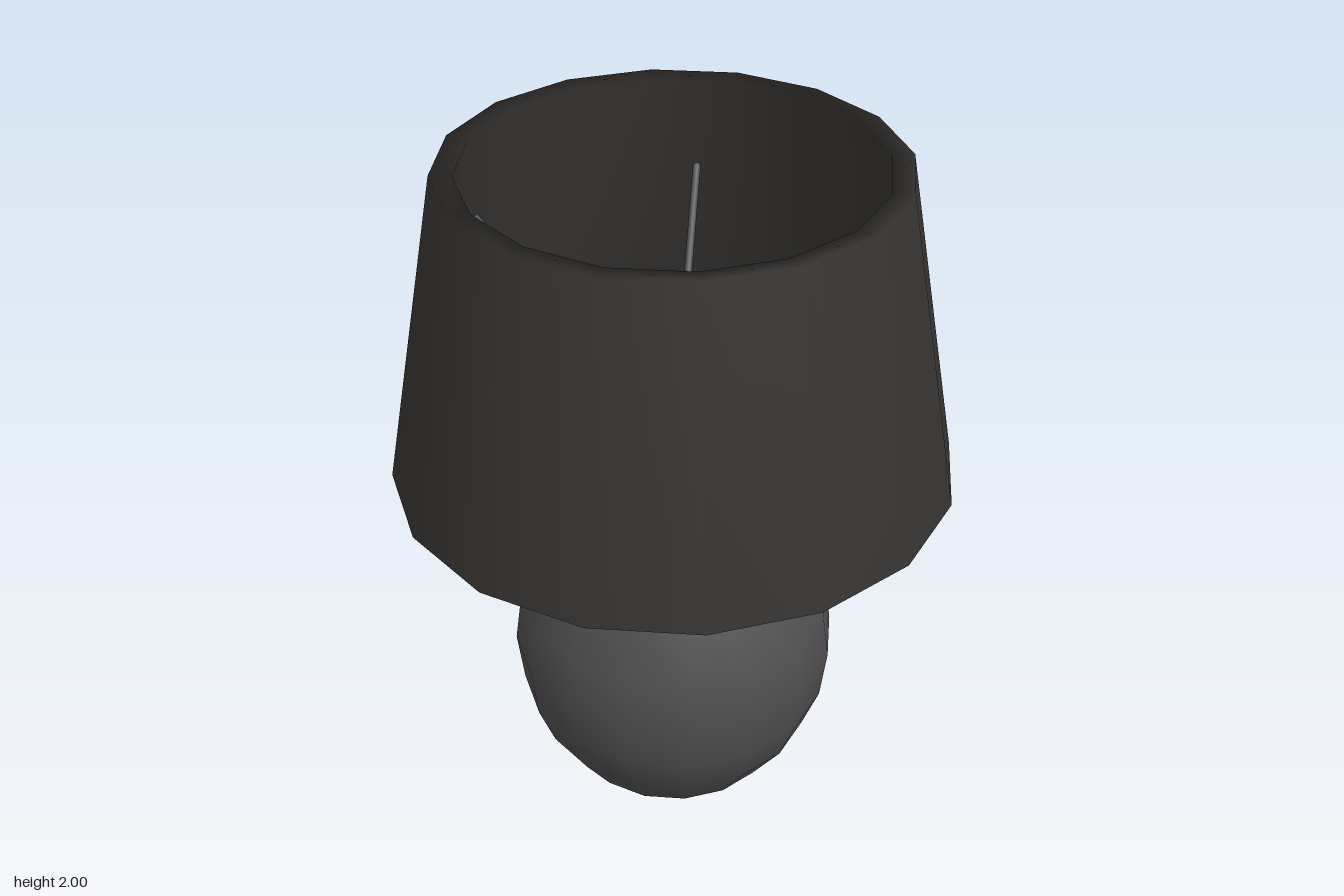
import * as THREE from 'three';

const SIDES = 16;
const material = (color, side = THREE.FrontSide) => new THREE.MeshStandardMaterial({ color, side });

// Turned part from [radius, height] pairs
function turned(name, profile, mat) {
  const points = profile.map(([r, y]) => new THREE.Vector2(r, y));
  const mesh = new THREE.Mesh(new THREE.LatheGeometry(points, SIDES), mat);
  mesh.name = name;
  return mesh;
}

// Straight round bar between two points
function bar(name, a, b, radius, mat) {
  const dir = b.clone().sub(a);
  const mesh = new THREE.Mesh(new THREE.CylinderGeometry(radius, radius, dir.length(), 8), mat);
  mesh.position.copy(a).add(b).multiplyScalar(0.5);
  mesh.quaternion.setFromUnitVectors(new THREE.Vector3(0, 1, 0), dir.normalize());
  mesh.name = name;
  return mesh;
}

export function createModel() {
  const lamp = new THREE.Group();
  lamp.name = 'tableLamp';
  const baseMat = material(0x504e50);
  const shadeMat = material(0x363432);
  const bulbMat = material(0xe6e6e6);

  // Rounded body with flat foot
  lamp.add(turned('foot', [[0, 0], [0.32, 0]], baseMat));
  lamp.add(turned('body', [
    [0.32, 0], [0.42, 0.14], [0.47, 0.27], [0.49, 0.43], [0.47, 0.58],
    [0.4, 0.74], [0.35, 0.825], [0.3, 0.847], [0, 0.85],
  ], baseMat));

  // Low dome and stem
  lamp.add(turned('dome', [[0.195, 0.845], [0.14, 0.9], [0.06, 0.915], [0, 0.916]], baseMat));
  lamp.add(turned('stem', [[0.045, 0.9], [0.045, 1.3]], baseMat));

  // Socket and bulb
  lamp.add(turned('socket', [[0.045, 1.29], [0.075, 1.37], [0, 1.37]], baseMat));
  lamp.add(turned('bulb', [
    [0.068, 1.36], [0.075, 1.39], [0.075, 1.57], [0.065, 1.608],
    [0.038, 1.635], [0, 1.645],
  ], bulbMat));

  // Four spokes rising from the stem to the shade
  const spokes = new THREE.Group();
  spokes.name = 'shadeSpokes';
  for (const angle of [-78, 33, 102, 213]) {
    const t = THREE.MathUtils.degToRad(angle);
    const end = new THREE.Vector3(Math.cos(t) * 0.645, 1.7, Math.sin(t) * 0.645);
    spokes.add(bar('spoke', new THREE.Vector3(0, 1.11, 0), end, 0.012, baseMat));
  }
  lamp.add(spokes);

  // Hollow tapered shade
  lamp.add(turned('shade', [
    [0.82, 1.06], [0.65, 2], [0.587, 1.995], [0.79, 1.06], [0.82, 1.06],
  ], shadeMat));

  return lamp;
}
